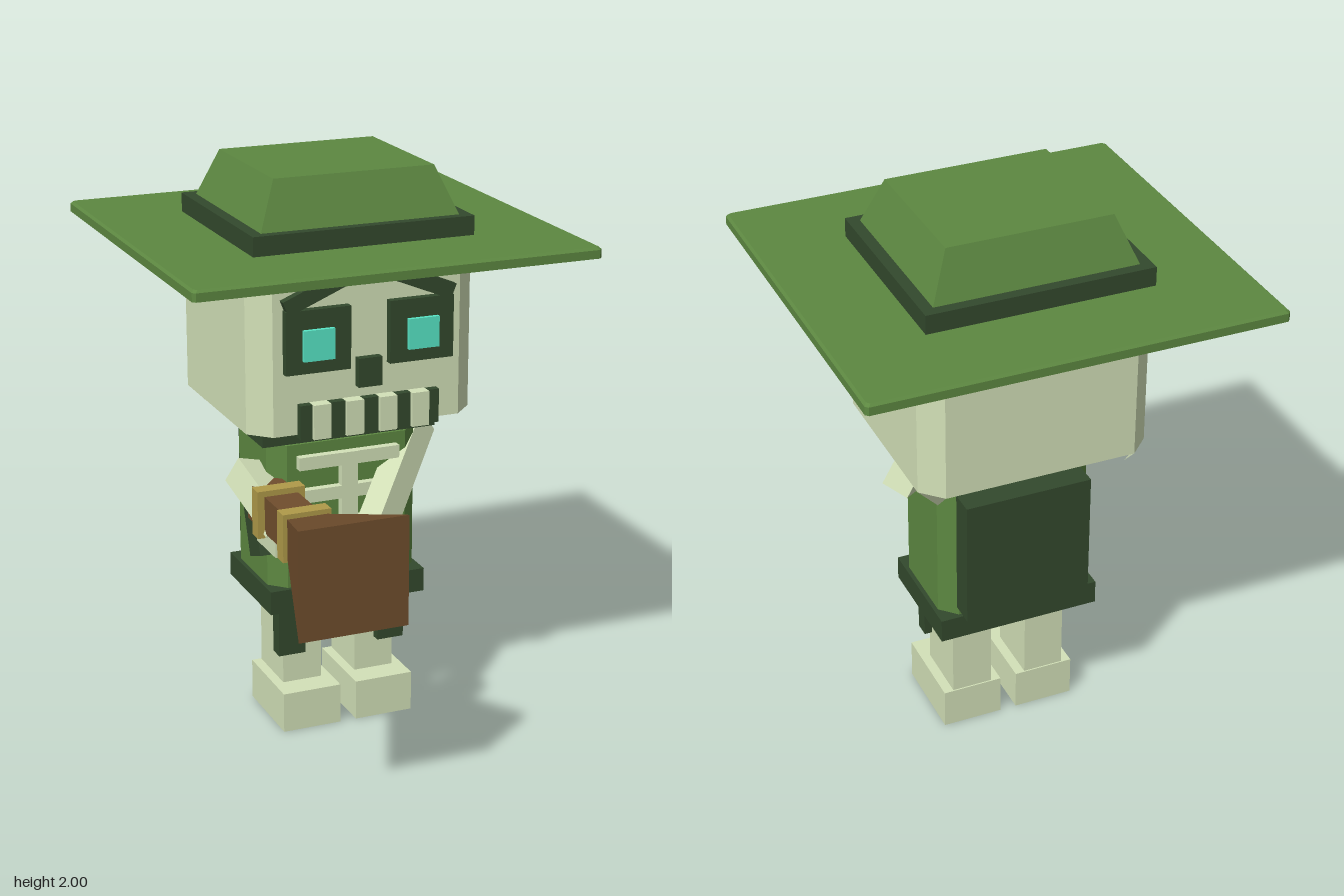
import * as THREE from 'three';

const mat = (name, color) => {
  const m = new THREE.MeshStandardMaterial({ color, side: THREE.DoubleSide });
  m.name = name;
  return m;
};

// Drop the downward faces, leaving a shell open at the bottom
function openBelow(geometry) {
  const g = geometry.index ? geometry.toNonIndexed() : geometry;
  const p = g.attributes.position, n = g.attributes.normal, v = [];
  for (let i = 0; i < p.count; i += 3) {
    if (n.getY(i) < -0.15) continue;
    for (let j = i; j < i + 3; j++) v.push(p.getX(j), p.getY(j), p.getZ(j));
  }
  const out = new THREE.BufferGeometry();
  out.setAttribute('position', new THREE.Float32BufferAttribute(v, 3));
  out.computeVertexNormals();
  return out;
}

// Stack of rectangles [y, halfX, halfZ], corners cut by c
function loft(rings, c = 0) {
  const pts = rings.map(([y, hx, hz]) => {
    const out = [];
    for (const [sx, sz] of [[1, 1], [-1, 1], [-1, -1], [1, -1]]) {
      const p = [sx * hx, y, sz * (hz - c)], q = [sx * (hx - c), y, sz * hz];
      if (c === 0) out.push(p);
      else out.push(...(sx * sz > 0 ? [p, q] : [q, p]));
    }
    return out;
  });
  const v = [], n = pts[0].length, top = pts[pts.length - 1];
  const tri = (...ps) => ps.forEach((p) => v.push(...p));
  for (let i = 0; i + 1 < pts.length; i++) {
    for (let k = 0; k < n; k++) {
      const l = (k + 1) % n;
      tri(pts[i][k], pts[i + 1][k], pts[i + 1][l]);
      tri(pts[i][k], pts[i + 1][l], pts[i][l]);
    }
  }
  for (let k = 1; k + 1 < n; k++) {
    tri(pts[0][0], pts[0][k], pts[0][k + 1]);
    tri(top[0], top[k + 1], top[k]);
  }
  const g = new THREE.BufferGeometry();
  g.setAttribute('position', new THREE.Float32BufferAttribute(v, 3));
  g.computeVertexNormals();
  return g;
}

export function createModel() {
  const bone = mat('bone', 0xd3e1b8);
  const green = mat('green cloth', 0x5d8841);
  const dark = mat('dark green', 0x33492d);
  const brown = mat('brown wood', 0x704e2d);
  const gold = mat('gold', 0xb09a49);
  const teal = mat('teal glow', 0x58e6c6);
  const model = new THREE.Group();
  model.name = 'skeletonHunter';

  const add = (name, geometry, material, parent = model) => {
    const mesh = new THREE.Mesh(openBelow(geometry), material);
    mesh.name = name;
    parent.add(mesh);
    return mesh;
  };

  // Box given by its limits on each axis
  const box = (name, material, [x0, x1], [y0, y1], [z0, z1], parent) => {
    const mesh = add(name, new THREE.BoxGeometry(x1 - x0, y1 - y0, z1 - z0), material, parent);
    mesh.position.set((x0 + x1) / 2, (y0 + y1) / 2, (z0 + z1) / 2);
    return mesh;
  };

  // Square bar between two points, rolled towards the given up direction
  const limb = (name, from, to, up, w) => {
    const a = new THREE.Vector3(...from), b = new THREE.Vector3(...to);
    const mesh = add(name, new THREE.BoxGeometry(w, w, a.distanceTo(b)), bone);
    mesh.position.copy(a).lerp(b, 0.5);
    mesh.up.set(...up);
    mesh.lookAt(b);
  };

  // Hat
  const hat = new THREE.Group();
  hat.name = 'hat';
  hat.position.z = -0.138;
  model.add(hat);
  add('hatBrim', loft([[1.735, 0.705, 0.662], [1.764, 0.705, 0.662], [1.772, 0.697, 0.654]], 0.01), green, hat);
  box('hatBand', dark, [-0.392, 0.392], [1.765, 1.838], [-0.352, 0.348], hat);
  add('hatCrown', loft([[1.83, 0.355, 0.317], [2, 0.285, 0.255]]), green, hat);

  // Head with cut corners
  add('head', loft([[1.16, 0.405, 0.364], [1.685, 0.405, 0.364], [1.75, 0.34, 0.299]], 0.07), bone).position.z = -0.137;
  for (const s of [1, -1]) {
    const a = [s * 0.405, 1.16, -0.43], b = [s * 0.335, 1.16, -0.5], c = [s * 0.335, 1.09, -0.43];
    const g = new THREE.BufferGeometry();
    g.setAttribute('position', new THREE.Float32BufferAttribute([a, ...(s > 0 ? [c, b] : [b, c])].flat(), 3));
    g.computeVertexNormals();
    const corner = new THREE.Mesh(g, bone);
    corner.name = 'jawCorner';
    model.add(corner);
  }

  // Face
  for (const s of [1, -1]) {
    const span = (a, b) => (s > 0 ? [a, b] : [-b, -a]);
    box('eyeSocket', dark, span(0.07, 0.3), [1.375, 1.59], [0.2, 0.255]);
    box('eye', teal, span(0.132, 0.242), [1.42, 1.525], [0.22, 0.27]);
    const brow = box('eyebrow', dark, [-0.12, 0.12], [-0.027, 0.027], [0.2, 0.255]);
    brow.position.set(s * 0.188, 1.645, 0.228);
    brow.rotation.z = -s * 0.39;
  }
  box('nose', dark, [-0.042, 0.042], [1.305, 1.405], [0.2, 0.255]);
  box('mouth', dark, [-0.25, 0.25], [1.15, 1.267], [0.2, 0.255]);
  for (const x of [-0.177, -0.06, 0.06, 0.177]) {
    box('tooth', bone, [x - 0.031, x + 0.031], [1.149, 1.268], [0.21, 0.27]);
  }

  // Torso and clothing
  box('collar', dark, [-0.318, 0.318], [1.075, 1.165], [-0.352, 0.08]);
  add('torso', loft([[0.46, 0.275, 0.188], [1.06, 0.275, 0.188], [1.115, 0.22, 0.133]], 0.055), green).position.z = -0.137;
  box('belt', dark, [-0.29, 0.29], [0.455, 0.54], [-0.34, 0.067]);
  box('backpack', dark, [-0.225, 0.225], [0.57, 1.03], [-0.41, -0.31]);
  box('breastbone', bone, [-0.03, 0.03], [0.735, 1.02], [0.04, 0.082]);
  for (const y of [0.757, 0.877, 0.997]) {
    box('rib', bone, [-0.185, 0.185], [y - 0.023, y + 0.023], [0.04, 0.08]);
  }

  // Legs
  for (const s of [1, -1]) {
    const span = (a, b) => (s > 0 ? [a, b] : [-b, -a]);
    box('leg', bone, span(0.065, 0.21), [0.14, 0.435], [-0.245, -0.028]);
    box('foot', bone, span(0.03, 0.245), [0, 0.145], [-0.25, 0.067]);
    box('coatTail', dark, span(0.138, 0.238), [0.265, 0.436], [-0.05, 0.007]);
  }

  // Arms and hands
  limb('leftArm', [0.347, 1.016, -0.135], [-0.04, 0.788, 0.345], [-0.49, 0.87, 0], 0.098);
  box('leftHand', bone, [-0.105, 0.005], [0.71, 0.865], [0.28, 0.435]);
  limb('rightArm', [-0.335, 0.95, -0.07], [-0.29, 0.83, 0.2], [0.3, 0.95, 0], 0.1);
  box('rightHand', bone, [-0.35, -0.235], [0.755, 0.88], [0.1, 0.275]);

  // Blunderbuss
  const gun = new THREE.Group();
  gun.name = 'blunderbuss';
  gun.position.set(-0.292, 0.873, 0);
  model.add(gun);
  box('barrel', brown, [-0.06, 0.06], [-0.063, 0.067], [0.02, 0.42], gun);
  add('muzzle', loft([[0.39, 0.063, 0.063], [0.805, 0.187, 0.187]]).rotateX(Math.PI / 2).toNonIndexed(), brown, gun);
  for (const z of [0.155, 0.387]) {
    box('barrelBand', gold, [-0.085, 0.085], [-0.08, 0.087], [z - 0.027, z + 0.027], gun);
  }
  box('grip', dark, [-0.048, 0.048], [-0.2, -0.02], [-0.03, 0.075], gun).rotation.x = -0.35;

  return model;
}
